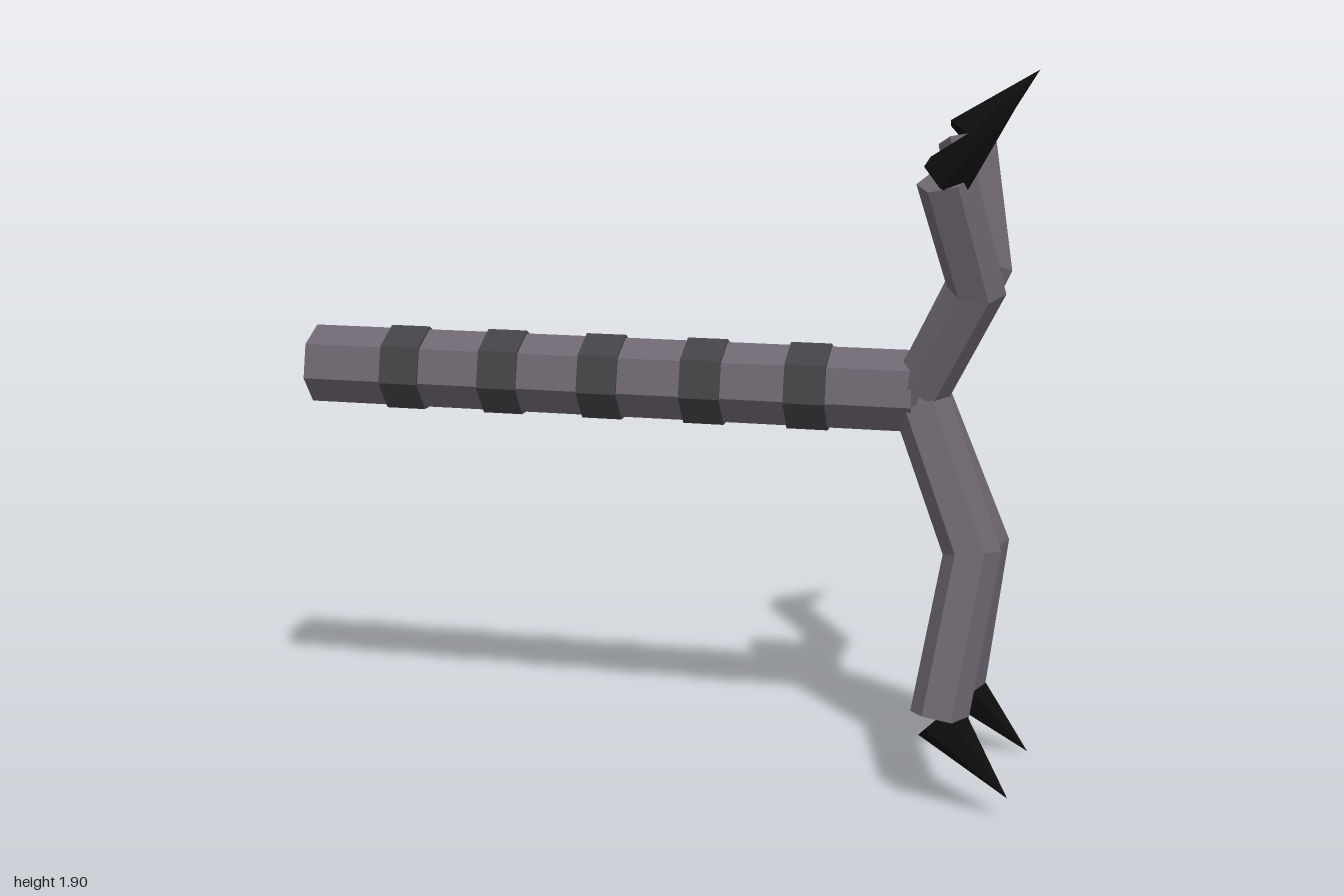
import * as THREE from 'three';

const mat = (name, color) => {
  const m = new THREE.MeshStandardMaterial({ color, flatShading: true });
  m.name = name;
  return m;
};

// Mitred hexagonal tube through a few points, capped at both ends
function limbGeometry(points, radius, sides = 6) {
  const rings = points.map((p, i) => {
    const n = new THREE.Vector3();
    if (i > 0) n.add(p.clone().sub(points[i - 1]).normalize());
    if (i < points.length - 1) n.add(points[i + 1].clone().sub(p).normalize());
    n.normalize();
    const u = new THREE.Vector3(1, 0, 0).addScaledVector(n, -n.x).normalize();
    const v = n.clone().cross(u);
    return Array.from({ length: sides }, (_, j) => {
      const a = (j / sides) * Math.PI * 2;
      return p.clone().addScaledVector(u, radius * Math.cos(a)).addScaledVector(v, radius * Math.sin(a));
    });
  });
  const tris = [];
  const last = rings.length - 1;
  for (let j = 0; j < sides; j++) {
    const k = (j + 1) % sides;
    for (let i = 0; i < last; i++) {
      const a = rings[i], b = rings[i + 1];
      tris.push(a[j], a[k], b[k], a[j], b[k], b[j]);
    }
    tris.push(points[0], rings[0][k], rings[0][j]);
    tris.push(points[last], rings[last][j], rings[last][k]);
  }
  const g = new THREE.BufferGeometry().setFromPoints(tris);
  g.computeVertexNormals();
  return g;
}

export function createModel() {
  const group = new THREE.Group();
  const grey = mat('purple grey', 0x6e6670);
  const dark = mat('dark grey', 0x434347);
  const black = mat('black', 0x0d0d0d);

  const add = (name, geometry, material) => {
    const mesh = new THREE.Mesh(geometry, material);
    mesh.name = name;
    group.add(mesh);
    return mesh;
  };

  // Seven-sided bar along x, with one edge on top
  const bar = (name, x0, x1, r, material) => {
    const g = new THREE.CylinderGeometry(r, r, x1 - x0, 7, 1, false, -Math.PI / 2);
    g.rotateZ(-Math.PI / 2);
    add(name, g, material).position.set((x0 + x1) / 2, 1.07, 0.003);
  };
  bar('shaft', -1, 0.69, 0.11, grey);
  [-0.72, -0.437, -0.155, 0.128, 0.41].forEach((x, i) =>
    bar('gripBand' + (i + 1), x - 0.055, x + 0.055, 0.118, dark));

  // Fingers: root, knuckle, end, claw tip
  const fingers = {
    upperFront: [[0.71, 1.09, 0.03], [0.85, 1.36, 0.11], [0.777, 1.65, 0.213], [0.955, 1.845, 0.282]],
    upperBack: [[0.71, 1.09, -0.03], [0.845, 1.39, -0.115], [0.782, 1.715, -0.212], [0.962, 1.897, -0.282]],
    lowerFront: [[0.71, 1.04, 0.03], [0.86, 0.67, 0.11], [0.798, 0.25, 0.214], [0.985, 0.063, 0.262]],
    lowerBack: [[0.71, 1.04, -0.03], [0.862, 0.645, -0.115], [0.802, 0.205, -0.21], [0.998, 0, -0.257]],
  };
  for (const [name, list] of Object.entries(fingers)) {
    const p = list.map(c => new THREE.Vector3(...c));
    add(name + 'Finger', limbGeometry(p.slice(0, 3), 0.076), grey);

    // Pointed claw from the finger end to the tip
    const dir = p[3].clone().sub(p[2]);
    const cone = new THREE.ConeGeometry(0.072, dir.length(), 6);
    const claw = add(name + 'Claw', cone, black);
    claw.position.copy(p[2]).addScaledVector(dir, 0.5);
    claw.quaternion.setFromUnitVectors(new THREE.Vector3(0, 1, 0), dir.normalize());
  }
  return group;
}
